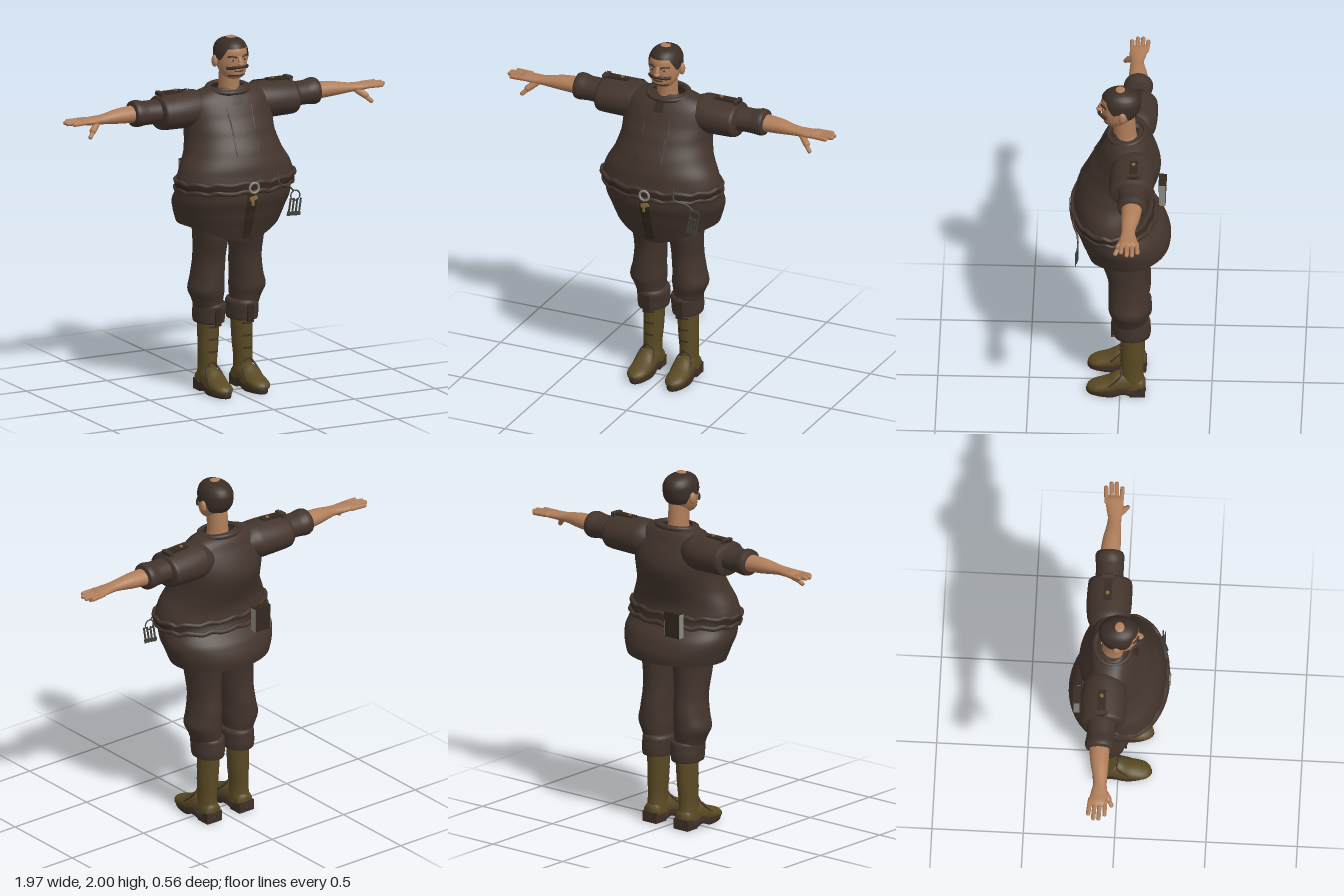
import * as THREE from 'three';
import { mergeVertices } from 'three/addons/utils/BufferGeometryUtils.js';

const mat = (name, color) => Object.assign(new THREE.MeshStandardMaterial({ color, side: THREE.DoubleSide }), { name });
const PI = Math.PI;

// Monotone smooth interpolation of rows [t, a, b, ...]
function interp(rows, t) {
  const n = rows.length;
  if (t <= rows[0][0]) return rows[0];
  if (t >= rows[n - 1][0]) return rows[n - 1];
  let i = 0;
  while (t > rows[i + 1][0]) i++;
  const h = rows[i + 1][0] - rows[i][0], s = (t - rows[i][0]) / h;
  const slope = (k, c) => (rows[k + 1][c] - rows[k][c]) / (rows[k + 1][0] - rows[k][0]);
  const tangent = (k, c) => {
    if (k === 0) return slope(0, c);
    if (k === n - 1) return slope(n - 2, c);
    const a = slope(k - 1, c), b = slope(k, c);
    return a * b <= 0 ? 0 : (2 * a * b) / (a + b);
  };
  return rows[i].map((p, c) => c === 0 ? t :
    p * (1 + 2 * s) * (1 - s) ** 2 + rows[i + 1][c] * s * s * (3 - 2 * s) +
    h * (tangent(i, c) * s * (1 - s) ** 2 + tangent(i + 1, c) * s * s * (s - 1)));
}

// Point on an oval loft; rows are [t, centreX, centreZ, radiusX, radiusZ], angle 0 faces +z
function onLoft(rows, t, a, grow = 0) {
  const [, cx, cz, rx, rz] = interp(rows, t);
  return new THREE.Vector3(cx + (rx + grow) * Math.sin(a), t, cz + (rz + grow) * Math.cos(a));
}

// Whole loft, or a patch of it between two angles and two heights
function loft(rows, { a0 = -PI, a1 = PI, lo = () => rows[0][0], hi = () => rows[rows.length - 1][0], grow = 0, nu = 40, nv = 32 } = {}) {
  const pos = [], idx = [];
  for (let j = 0; j <= nv; j++) for (let i = 0; i <= nu; i++) {
    const a = a0 + (a1 - a0) * i / nu;
    pos.push(...onLoft(rows, lo(a) + (hi(a) - lo(a)) * j / nv, a, grow).toArray());
    if (i < nu && j < nv) {
      const p = j * (nu + 1) + i, q = p + nu + 1;
      idx.push(p, p + 1, q + 1, p, q + 1, q);
    }
  }
  let g = new THREE.BufferGeometry();
  g.setAttribute('position', new THREE.Float32BufferAttribute(pos, 3));
  g.setIndex(idx);
  g = mergeVertices(g, 1e-5);
  g.computeVertexNormals();
  return g;
}

const V = (x, y, z) => new THREE.Vector3(x, y, z);
const box = (w, h, d, x, y, z, rz = 0) => new THREE.BoxGeometry(w, h, d).rotateZ(rz).translate(x, y, z);
const ball = (rx, ry, rz, x, y, z) => new THREE.SphereGeometry(1, 20, 14).scale(rx, ry, rz).translate(x, y, z);
const tube = (pts, r, closed = false, n = 40) => new THREE.TubeGeometry(new THREE.CatmullRomCurve3(pts, closed), n, r, 8, closed);
function finger(a, b, r) {
  const d = b.clone().sub(a), g = new THREE.CapsuleGeometry(r, d.length() - r, 4, 10);
  g.applyQuaternion(new THREE.Quaternion().setFromUnitVectors(V(0, 1, 0), d.normalize()));
  return g.translate((a.x + b.x) / 2, (a.y + b.y) / 2, (a.z + b.z) / 2);
}

export function createModel() {
  const model = new THREE.Group();
  const cloth = mat('brown cloth', 0x42342c), hairMat = mat('dark hair', 0x3a2d26), skin = mat('skin', 0xb07e5a);
  const bootMat = mat('olive leather', 0x5a4a24), soleMat = mat('sole leather', 0x3f2f27), beltMat = mat('dark leather', 0x33281f);
  const brass = mat('brass', 0x8a6a38), steel = mat('grey metal', 0x8b8a82), iron = mat('dark iron', 0x45423d);

  const add = (name, geo, m) => {
    const mesh = new THREE.Mesh(geo, m);
    mesh.name = name;
    model.add(mesh);
  };
  // Adds the left part and its mirrored right twin
  const pair = (name, geo, m) => {
    add(name + 'Left', geo, m);
    const g = geo.clone().scale(-1, 1, 1), ix = g.index.array;
    for (let i = 0; i < ix.length; i += 3) [ix[i], ix[i + 1]] = [ix[i + 1], ix[i]];
    add(name + 'Right', g, m);
  };

  // Tunic
  const T = (y, rx, back, front) => [y, 0, (front + back) / 2, rx, (front - back) / 2];
  const torso = [T(.86, .25, -.25, .165), T(.96, .295, -.27, .2), T(1.03, .32, -.275, .225), T(1.1, .34, -.25, .25),
    T(1.17, .335, -.19, .258), T(1.22, .345, -.165, .26), T(1.28, .33, -.16, .25), T(1.38, .28, -.19, .22),
    T(1.48, .26, -.22, .17), T(1.57, .26, -.2, .12), T(1.64, .25, -.165, .085), T(1.69, .19, -.14, .05), T(1.715, .1, -.1, .03)];
  const hem = a => .965 - .09 * Math.max(0, Math.cos(a)) ** 3;
  add('tunic', loft(torso, { lo: hem, nu: 64, nv: 50 }), cloth);
  add('tunicUnderside', new THREE.CircleGeometry(1, 40).rotateX(PI / 2).scale(.285, 1, .225).translate(0, .975, -.04), cloth);
  add('chestPanel', loft(torso, { a0: -.62, a1: .62, grow: .008, nu: 60,
    lo: a => Math.abs(a) < .28 ? 1.37 + .02 * Math.cos(a * 30) : 1.5 + .03 * Math.cos(a * 22), hi: () => 1.675 }), cloth);
  add('neckTab', loft(torso, { a0: -.11, a1: .11, lo: () => 1.63, hi: () => 1.695, grow: .014, nu: 4 }), beltMat);
  add('collar', new THREE.TorusGeometry(1, .13, 10, 40).rotateX(PI / 2).scale(.115, .11, .1).rotateX(.1).translate(0, 1.7, -.035), cloth);

  // Belt with rolled edges, hanging strap and buckle
  const ring = (y, g) => Array.from({ length: 40 }, (_, i) => onLoft(torso, y + .006 * Math.sin(i * 2.3), i * PI / 20, g));
  add('belt', loft(torso, { lo: () => 1.165, hi: () => 1.225, grow: .01, nv: 4, nu: 60 }), beltMat);
  add('beltUpperRoll', tube(ring(1.222, .004), .013, true, 120), cloth);
  add('beltLowerRoll', tube(ring(1.175, .006), .014, true, 120), cloth);
  add('hangingStrap', loft(torso, { a0: -.11, a1: .07, lo: () => .9, hi: () => 1.17, grow: .008, nu: 6 }), beltMat);
  add('buckle', new THREE.TorusGeometry(.028, .007, 8, 20).translate(0, 1.2, .276), steel);
  add('strapClasp', box(.045, .022, .012, 0, 1.14, .268, .3), brass);
  add('strapPin', box(.012, .05, .01, -.005, 1.125, .27), brass);

  // Key ring on the left, flat case at the back
  add('keyHook', tube([V(.16, 1.26, .24), V(.17, 1.2, .255), V(.24, 1.17, .23), V(.27, 1.14, .225)], .005), iron);
  add('keyRing', new THREE.TorusGeometry(.028, .004, 6, 20).translate(.28, 1.115, .225), iron);
  for (let i = 0; i < 4; i++) {
    const x = .245 + i * .019;
    add('keyShaft' + i, box(.009, .09, .006, x, 1.055, .225 + i * .004, -.15), iron);
    add('keyBit' + i, box(.018, .022, .006, x - .007, 1.015, .225 + i * .004, -.15), iron);
  }
  add('beltCase', box(.1, .14, .036, -.14, 1.2, -.225), beltMat);
  for (const x of [-.192, -.088]) add('caseEdge', box(.006, .135, .034, x, 1.2, -.225), steel);
  add('caseFlap', box(.104, .05, .042, -.14, 1.248, -.225), beltMat);

  // Sleeves, arms and hands, lofted outward along x
  const along = (rows, opt) => loft(rows, opt).rotateZ(-PI / 2);
  const sleeve = [[.1, -1.6, -.065, .06, .08], [.2, -1.598, -.07, .103, .118], [.3, -1.597, -.07, .1, .124],
    [.4, -1.595, -.07, .095, .12], [.42, -1.595, -.07, .085, .105], [.425, -1.597, -.07, .05, .05]];
  pair('sleeve', along(sleeve), cloth);
  pair('tornShoulderPatch', along(sleeve, { a0: -2.75, a1: -1.75, grow: .006, lo: () => .2,
    hi: a => .36 + .03 * Math.asin(Math.sin(a * 30)) / 1.57 }), cloth);
  pair('cuff', along([[.4, -1.603, -.075, .066, .078], [.49, -1.603, -.077, .066, .076], [.545, -1.605, -.08, .074, .08],
    [.57, -1.605, -.08, .068, .073], [.574, -1.605, -.08, .045, .05]]), cloth);
  pair('forearm', along([[.55, -1.605, -.08, .048, .057], [.65, -1.605, -.075, .042, .05], [.77, -1.601, -.066, .026, .037],
    [.83, -1.6, -.068, .022, .046], [.885, -1.602, -.073, .018, .05], [.905, -1.602, -.073, .006, .035]]), skin);
  [[-.114, -.122, .955], [-.088, -.093, .98], [-.061, -.064, .98], [-.034, -.032, .955]].forEach(([z0, z1, x], i) =>
    pair('finger' + i, finger(V(.86, 1.602, z0), V(x, 1.6, z1), .0125), skin));
  pair('thumbBase', finger(V(.8, 1.59, -.05), V(.85, 1.552, -.012), .019), skin);
  pair('thumb', finger(V(.835, 1.56, -.02), V(.873, 1.524, .004), .0125), skin);

  // Shoulder straps
  pair('shoulderStrap', box(.15, .014, .045, .34, 1.7, -.08), beltMat);
  pair('strapLoop', box(.022, .022, .07, .395, 1.698, -.08), cloth);
  pair('strapButton', new THREE.CylinderGeometry(.01, .01, .008, 14).translate(.3, 1.71, -.08), brass);

  // Trousers with rolled cuffs
  pair('trouserLeg', loft([[.47, .11, -.055, .075, .09], [.52, .117, -.055, .085, .1], [.58, .127, -.05, .1, .112],
    [.65, .12, -.05, .09, .112], [.75, .112, -.045, .086, .108], [.9, .11, -.03, .092, .13], [1.05, .11, -.03, .1, .15]]), cloth);
  pair('trouserCuff', loft([[.382, .103, -.065, .062, .075], [.39, .103, -.065, .082, .1], [.42, .103, -.065, .086, .104],
    [.48, .101, -.06, .088, .106], [.5, .102, -.06, .082, .1], [.507, .102, -.06, .06, .08]]), cloth);
  pair('cuffTab', box(.035, .1, .012, .1, .43, .042), beltMat);

  // Boots
  const shaft = [[.05, .111, -.072, .055, .066], [.15, .11, -.066, .05, .062], [.25, .106, -.068, .055, .065], [.41, .101, -.07, .059, .07]];
  pair('bootShaft', loft(shaft), bootMat);
  [.22, .29, .36].forEach((y, i) =>
    pair('bootLace' + i, loft(shaft, { a0: -.5, a1: .5, lo: () => y, hi: () => y + .012, grow: .005, nu: 8, nv: 2 }), soleMat));
  pair('bootFoot', loft([[-.138, .111, -.06, .02, .03], [-.125, .111, -.06, .05, .05], [-.05, .111, -.075, .054, .07],
    [.01, .112, -.07, .057, .068], [.07, .114, -.055, .06, .046], [.13, .115, -.045, .056, .034], [.17, .115, -.038, .035, .022],
    [.183, .115, -.035, .008, .008]]).rotateX(PI / 2), bootMat);
  pair('instepSeam', tube([V(.058, .07, .06), V(.075, .135, -.005), V(.112, .168, -.002), V(.149, .135, -.005), V(.168, .07, .06)], .005), soleMat);
  const sole = loft([[0, .113, .02, 0, 0], [.001, .113, .022, .058, .158], [.02, .113, .022, .063, .164],
    [.042, .113, .022, .06, .16], [.044, .113, .022, 0, 0]], { nv: 44 });
  const p = sole.attributes.position;
  for (let i = 0; i < p.count; i++) p.setY(i, p.getY(i) + .022 * Math.exp(-(((p.getZ(i) + .015) / .035) ** 2)));
  sole.computeVertexNormals();
  pair('sole', sole, soleMat);
  pair('heel', box(.1, .06, .085, .112, .03, -.095), soleMat);

  // Neck and head
  add('neck', loft([[1.66, 0, -.025, .062, .068], [1.72, 0, -.022, .056, .062], [1.83, 0, -.015, .056, .062]]), skin);
  const head = [T(1.765, .015, .02, .05), T(1.775, .045, -.01, .08), T(1.795, .064, -.045, .095), T(1.83, .08, -.075, .1),
    T(1.87, .086, -.1, .104), T(1.92, .084, -.108, .104), T(1.955, .072, -.095, .09), T(1.98, .048, -.06, .062), T(1.996, .002, .0, .004)];
  add('head', loft(head), skin);
  const hairline = [[0, 1.945], [.7, 1.945], [.95, 1.91], [1.25, 1.875], [1.5, 1.885], [1.85, 1.875], [2.2, 1.835], [PI, 1.828]];
  add('hair', loft(head, { lo: a => interp(hairline, Math.abs(a))[1], grow: .007, nu: 60 }), hairMat);
  add('baldSpot', ball(.03, .006, .026, 0, 1.994, .002), skin);
  pair('ear', ball(.016, .034, .022, .093, 1.865, -.012), skin);

  // Face
  add('noseBridge', finger(V(0, 1.9, .1), V(0, 1.868, .117), .012), skin);
  add('noseTip', ball(.018, .013, .02, 0, 1.862, .114), skin);
  const onFace = (y, a, g) => onLoft(head, y, a, g);
  pair('eyeWhite', ball(.015, .006, .005, .036, 1.883, .093), steel);
  pair('pupil', ball(.006, .006, .004, .036, 1.883, .096), hairMat);
  pair('eyebrow', tube([onFace(1.898, .18, .003), onFace(1.905, .45, .003), onFace(1.9, .75, .002)], .005), hairMat);
  pair('moustache', tube([V(0, 1.846, .117), V(.025, 1.846, .115), onFace(1.838, .6, .006), onFace(1.838, .85, .003)], .009), hairMat);
  add('mouth', tube([onFace(1.82, -.35, .001), onFace(1.818, 0, .002), onFace(1.82, .35, .001)], .004), soleMat);
  add('chinBeard', loft(head, { a0: -.9, a1: .9, lo: () => 1.79, hi: () => 1.798, grow: .003, nv: 2 }), hairMat);

  return model;
}
